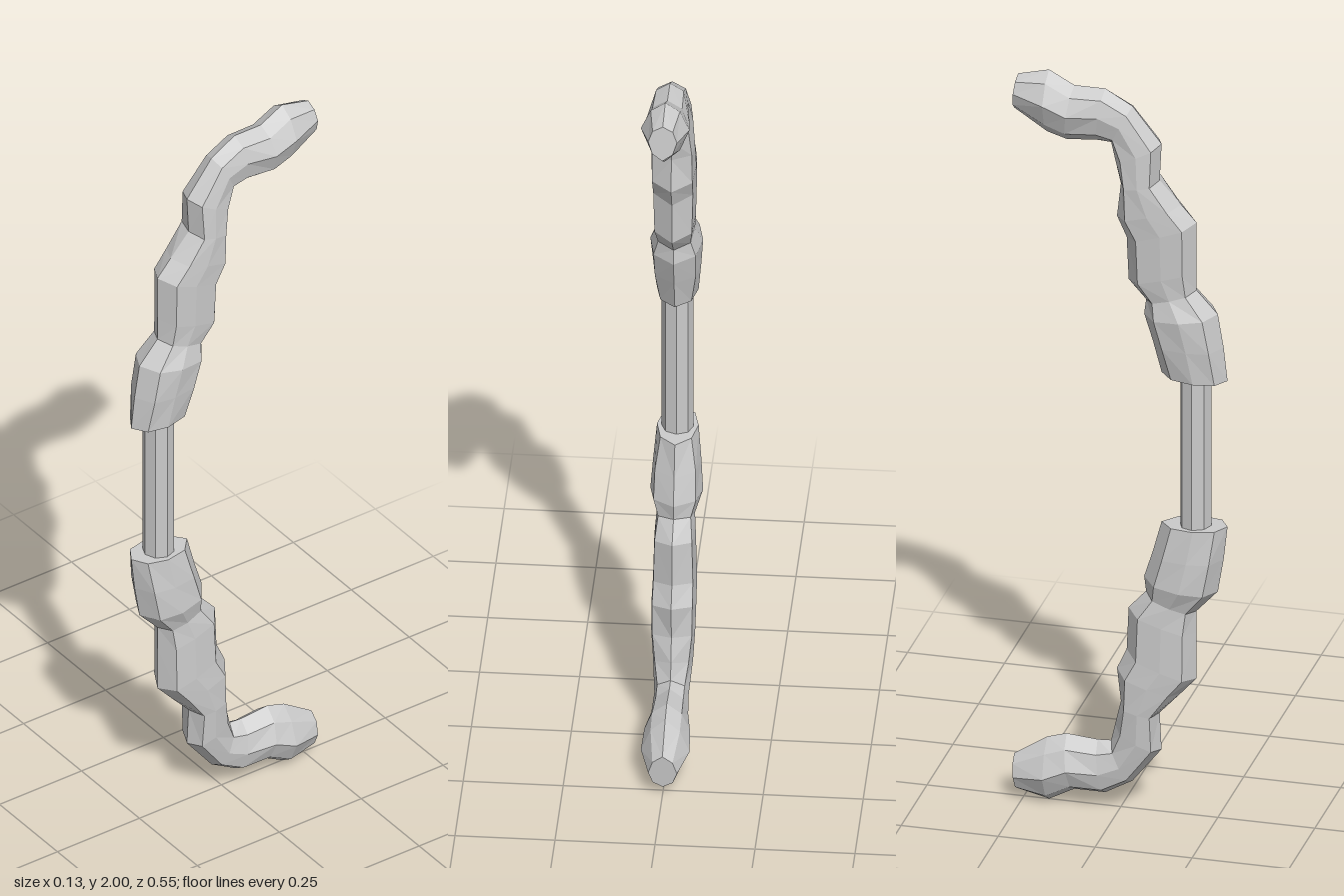
import * as THREE from 'three';

// Limb cross-sections: front ridge y,z / back ridge y,z / half width / corner fullness
const SECTIONS = [
  [1.20, 0.275, 1.205, 0.105, 0.052, 0.75],
  [1.29, 0.265, 1.29, 0.082, 0.06, 0.85],
  [1.38, 0.25, 1.36, 0.06, 0.066, 0.8],
  [1.44, 0.195, 1.40, 0.065, 0.048, 0.85],
  [1.50, 0.195, 1.45, 0.02, 0.052, 0.9],
  [1.625, 0.195, 1.565, 0.015, 0.055, 0.9],
  [1.67, 0.155, 1.62, -0.01, 0.056, 0.9],
  [1.73, 0.10, 1.71, 0.0, 0.055, 0.9],
  [1.83, 0.105, 1.775, -0.015, 0.05, 0.85],
  [1.925, 0.03, 1.82, -0.025, 0.043, 0.8],
  [1.965, -0.04, 1.822, -0.06, 0.046, 0.75],
  [1.965, -0.12, 1.815, -0.14, 0.057, 0.65],
  [2.0, -0.185, 1.83, -0.19, 0.061, 0.6],
  [1.98, -0.265, 1.885, -0.275, 0.036, 0.7],
];

// Eight-cornered ring running front ridge -> left -> back ridge -> right
function ring([fy, fz, by, bz, w, full]) {
  const at = (x, t) => new THREE.Vector3(x, fy + (by - fy) * t, fz + (bz - fz) * t);
  const c = w * full;
  return [at(0, 0), at(c, 0.14), at(w, 0.45), at(c, 0.8), at(0, 1), at(-c, 0.8), at(-w, 0.45), at(-c, 0.14)];
}

// Faceted loft through the rings; the lower limb is reflected about y = 1
function limbGeometry(lower) {
  const rings = SECTIONS.map(ring);
  const pos = [];
  const tri = (a, b, c) => {
    for (const p of lower ? [a, c, b] : [a, b, c]) pos.push(p.x, lower ? 2 - p.y : p.y, p.z);
  };
  const centre = (r) => r.reduce((s, p) => s.add(p), new THREE.Vector3()).divideScalar(r.length);
  const first = rings[0], last = rings[rings.length - 1];
  const c0 = centre(first), c1 = centre(last);
  for (let j = 0; j < 8; j++) {
    const k = (j + 1) % 8;
    for (let i = 0; i < rings.length - 1; i++) {
      const a = rings[i][j], b = rings[i][k], c = rings[i + 1][k], d = rings[i + 1][j];
      // Diagonals mirror from left to right
      if (j < 4) { tri(a, b, c); tri(a, c, d); } else { tri(a, b, d); tri(b, c, d); }
    }
    tri(c0, first[k], first[j]);
    tri(c1, last[j], last[k]);
  }
  const geo = new THREE.BufferGeometry();
  geo.setAttribute('position', new THREE.Float32BufferAttribute(pos, 3));
  geo.computeVertexNormals();
  return geo;
}

export function createModel() {
  const group = new THREE.Group();
  group.name = 'bow';
  const material = new THREE.MeshStandardMaterial({ color: 0xcccccc, flatShading: true });
  const add = (name, geo) => {
    const mesh = new THREE.Mesh(geo, material);
    mesh.name = name;
    group.add(mesh);
    return mesh;
  };

  // Carved limbs
  add('upperLimb', limbGeometry(false));
  add('lowerLimb', limbGeometry(true));

  // Straight eight-sided grip joining the limbs
  add('grip', new THREE.CylinderGeometry(0.04, 0.04, 0.44, 8)).position.set(0, 1, 0.193);

  return group;
}
